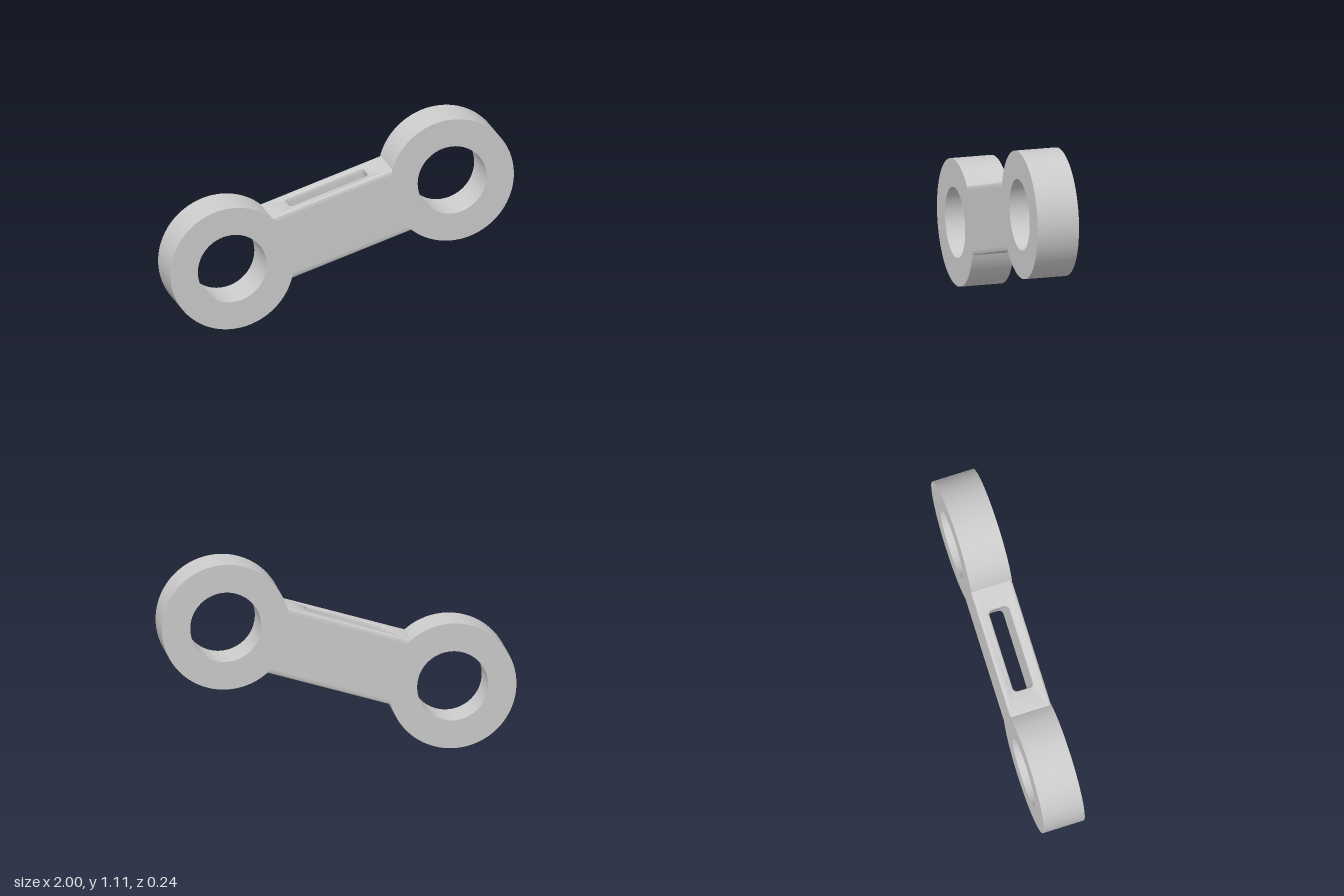
import * as THREE from 'three';
import { toCreasedNormals } from 'three/addons/utils/BufferGeometryUtils.js';

const OUTER = 0.36, BORE = 0.2, DEPTH = 0.24;
const CX = 0.64, RISE = 0.195; // half spacing of the ring centres
const HALF_LENGTH = Math.hypot(CX, RISE), TILT = Math.atan2(RISE, CX);
const ARM_HALF = 0.194, FILLET = 0.012;

const material = new THREE.MeshStandardMaterial({ color: 0xcccccc });

function ringGeometry() {
  const shape = new THREE.Shape().absarc(0, 0, OUTER, 0, Math.PI * 2);
  shape.holes.push(new THREE.Path().absarc(0, 0, BORE, 0, Math.PI * 2, true));
  const geo = new THREE.ExtrudeGeometry(shape, { depth: DEPTH, bevelEnabled: false, curveSegments: 96 });
  return toCreasedNormals(geo.translate(0, 0, -DEPTH / 2), 0.5);
}

function roundedRect(path, w, h, r) {
  path.moveTo(w, -h + r);
  path.absarc(w - r, h - r, r, 0, Math.PI / 2);
  path.absarc(-w + r, h - r, r, Math.PI / 2, Math.PI);
  path.absarc(-w + r, -h + r, r, Math.PI, Math.PI * 1.5);
  path.absarc(w - r, -h + r, r, Math.PI * 1.5, Math.PI * 2);
  return path;
}

// Bar with a slot running through its height and filleted long edges
function armGeometry() {
  const w = 0.36, h = DEPTH / 2;
  const shape = new THREE.Shape([[-w, -h], [w, -h], [w, h], [-w, h]].map(p => new THREE.Vector2(...p)));
  shape.holes.push(roundedRect(new THREE.Path(), 0.237, 0.058, 0.025));
  const geo = new THREE.ExtrudeGeometry(shape, {
    depth: 2 * (ARM_HALF - FILLET), steps: 20, curveSegments: 6,
    bevelThickness: FILLET, bevelSize: FILLET, bevelOffset: -FILLET, bevelSegments: 4,
  });
  geo.translate(0, 0, FILLET - ARM_HALF).rotateX(-Math.PI / 2);
  // Bend both ends to follow the round outside of the rings
  const pos = geo.attributes.position;
  for (let i = 0; i < pos.count; i++) {
    const x = pos.getX(i), y = pos.getY(i);
    if (Math.abs(x) > 0.3) {
      pos.setX(i, Math.sign(x) * (HALF_LENGTH - Math.sqrt(OUTER ** 2 - y * y) + 0.003));
    }
  }
  return toCreasedNormals(geo, 0.6);
}

export function createModel() {
  const group = new THREE.Group();
  group.name = 'linkArm';
  const add = (name, geo, x, y) => {
    const mesh = new THREE.Mesh(geo, material);
    mesh.name = name;
    mesh.position.set(x, y, 0);
    group.add(mesh);
    return mesh;
  };
  const ring = ringGeometry();
  add('lowerRing', ring, -CX, OUTER);
  add('upperRing', ring, CX, OUTER + 2 * RISE);
  add('slottedArm', armGeometry(), 0, OUTER + RISE).rotation.z = TILT;
  return group;
}
